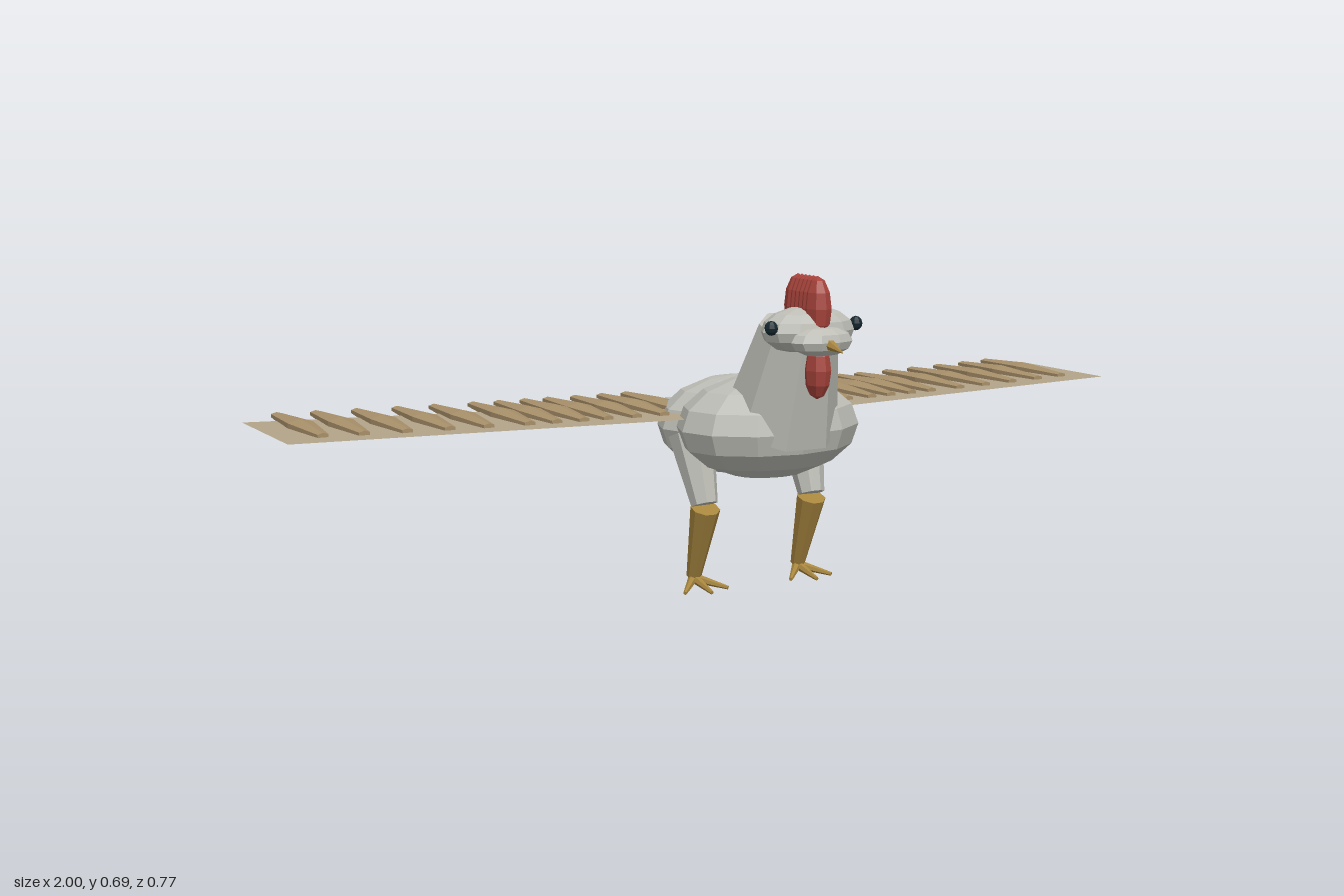
import * as THREE from 'three';

const mat = (name, color, side = THREE.FrontSide) =>
  new THREE.MeshStandardMaterial({ name, color, side, flatShading: true });

export function createModel() {
  const model = new THREE.Group();
  model.name = 'rooster';

  const grey = mat('plumageGrey', 0xbdbdb6);
  const red = mat('combRed', 0xa8443c);
  const gold = mat('legGold', 0xa8863f);
  const dark = mat('eyeDark', 0x16282f);
  const tan = mat('featherTan', 0xa88f69);
  const sand = mat('wingSand', 0xb3a58a, THREE.DoubleSide);

  const add = (name, geometry, material, parent = model) => {
    const mesh = new THREE.Mesh(geometry, material);
    mesh.name = name;
    parent.add(mesh);
    return mesh;
  };

  // Faceted ellipsoid
  const ellipsoid = (name, pos, radii, material, w = 12, h = 8, parent = model) => {
    const m = add(name, new THREE.SphereGeometry(1, w, h), material, parent);
    m.position.set(...pos);
    m.scale.set(...radii);
    return m;
  };

  // Tapered prism between two points
  const limb = (name, a, b, ra, rb, sides, material, parent = model) => {
    const from = new THREE.Vector3(...a), to = new THREE.Vector3(...b);
    const dir = to.clone().sub(from);
    const geo = new THREE.CylinderGeometry(rb, ra, dir.length(), sides, 1, false, Math.PI / sides);
    const m = add(name, geo, material, parent);
    m.position.copy(from).add(to).multiplyScalar(0.5);
    m.quaternion.setFromUnitVectors(new THREE.Vector3(0, 1, 0), dir.normalize());
    return m;
  };

  // Body, neck and tail
  ellipsoid('chest', [0, 0.356, 0.092], [0.205, 0.112, 0.155], grey);
  ellipsoid('rump', [0, 0.343, -0.035], [0.185, 0.108, 0.146], grey);
  limb('neck', [0, 0.365, 0.14], [0, 0.572, 0.217], 0.125, 0.083, 8, grey);
  limb('tailBase', [0, 0.36, -0.1], [0, 0.337, -0.247], 0.032, 0.019, 8, grey);
  limb('tailTip', [0, 0.33, -0.25], [0, 0.344, -0.372], 0.026, 0.014, 8, grey);

  // Head
  ellipsoid('head', [0, 0.573, 0.252], [0.105, 0.05, 0.067], grey);
  ellipsoid('face', [0, 0.555, 0.308], [0.072, 0.031, 0.038], grey, 10, 6);
  limb('beak', [0, 0.553, 0.33], [0, 0.54, 0.386], 0.014, 0.001, 6, gold);
  for (const s of [1, -1])
    ellipsoid(s > 0 ? 'leftEye' : 'rightEye', [s * 0.1, 0.584, 0.277], [0.014, 0.015, 0.014], dark, 8, 6);

  // Comb of overlapping lobes, and the wattle under the beak
  const comb = new THREE.Group();
  comb.name = 'comb';
  model.add(comb);
  for (let i = 0; i < 6; i++)
    ellipsoid('combLobe', [0, 0.62, 0.29 - i * 0.0152], [0.026, 0.066, 0.035], red, 8, 6, comb);
  ellipsoid('wattle', [0, 0.495, 0.29], [0.026, 0.06, 0.035], red, 8, 6);

  // Legs with three splayed toes
  for (const s of [1, -1]) {
    const leg = new THREE.Group();
    leg.name = s > 0 ? 'leftLeg' : 'rightLeg';
    model.add(leg);
    limb('thigh', [s * 0.135, 0.335, 0], [s * 0.132, 0.19, 0.053], 0.05, 0.029, 8, grey, leg);
    limb('shin', [s * 0.131, 0.182, 0.055], [s * 0.13, 0.024, 0], 0.032, 0.016, 8, gold, leg);
    for (const [dx, z] of [[-0.052, 0.058], [0, 0.082], [0.052, 0.058]])
      limb('toe', [s * 0.13, 0.02, -0.002], [s * 0.13 + dx, 0.004, z], 0.011, 0.004, 6, gold, leg);
  }

  // Feather: flattened spindle lying along z
  const profile = [[0, -0.155], [0.014, -0.155], [0.031, 0.01], [0.013, 0.155], [0, 0.155]];
  const feather = new THREE.LatheGeometry(profile.map(p => new THREE.Vector2(...p)), 6);
  feather.rotateX(Math.PI / 2).scale(1, 0.48, 1);
  const featherX = [0.139, 0.198, 0.262, 0.326, 0.38, 0.439, 0.497, 0.583, 0.663, 0.749, 0.834, 0.914];

  // Wings: a flat sheet carrying a row of feathers
  for (const s of [1, -1]) {
    const wing = new THREE.Group();
    wing.name = s > 0 ? 'leftWing' : 'rightWing';
    model.add(wing);
    const outline = [[0.06, -0.088], [1, 0.03], [1, 0.345], [0.06, 0.14]];
    const sheet = new THREE.ShapeGeometry(new THREE.Shape(
      (s > 0 ? outline : outline.slice().reverse()).map(([x, y]) => new THREE.Vector2(s * x, y))));
    sheet.rotateX(-Math.PI / 2);
    add('wingSheet', sheet, sand, wing).position.y = 0.378;
    for (const x of featherX)
      add('feather', feather, tan, wing).position.set(s * x, 0.381, -0.15 - 0.1 * x * x);
  }
  return model;
}
